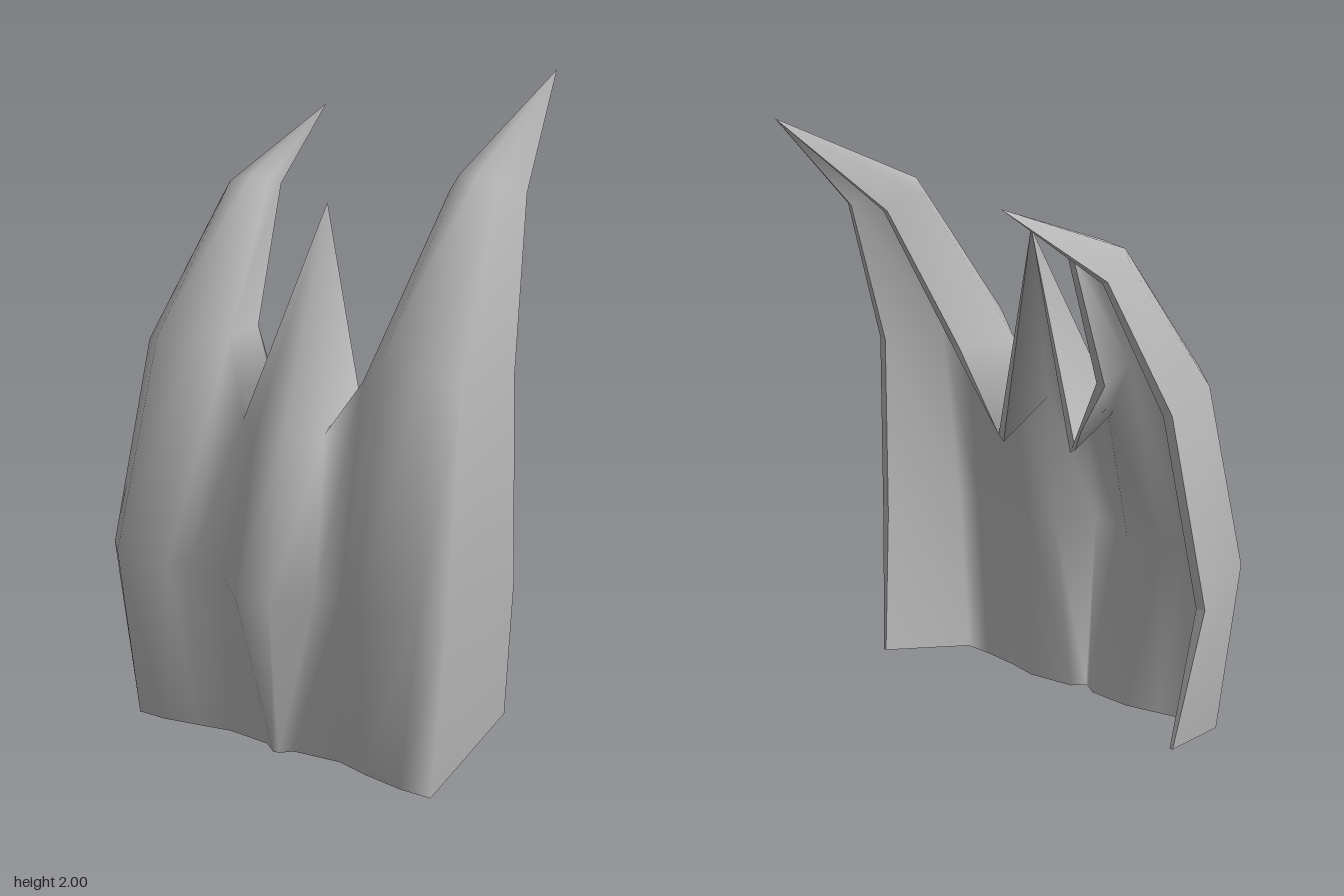
import * as THREE from 'three';

const THICKNESS = 0.028;

// Cross-sections run from the outer back edge on -x, across the front, to the one on +x.
const base = [
  [-0.575, 0.11, 0.02], [-0.51, 0, 0.4], [-0.42, 0, 0.4], [-0.3, 0, 0.38], [-0.19, 0, 0.36], [-0.05, 0, 0.37],
  [-0.01, 0, 0.4], [0.01, 0, 0.4],
  [0.045, 0, 0.37], [0.2, 0, 0.355], [0.3, 0, 0.38], [0.43, 0, 0.4], [0.53, 0, 0.4], [0.595, 0.11, 0.02],
];
const waist = [
  [-0.635, 0.57, 0.08], [-0.57, 0.59, 0.41], [-0.52, 0.59, 0.465], [-0.335, 0.59, 0.47], [-0.28, 0.58, 0.43], [-0.15, 0.57, 0.44],
  [-0.05, 0.57, 0.532], [0.065, 0.57, 0.532],
  [0.15, 0.57, 0.415], [0.23, 0.58, 0.405], [0.32, 0.59, 0.47], [0.5, 0.59, 0.445], [0.565, 0.59, 0.39], [0.635, 0.59, 0.08],
];
const shoulder = [
  [-0.58, 1.2, -0.05], [-0.53, 1.21, 0.24], [-0.46, 1.24, 0.3], [-0.33, 1.26, 0.28], [-0.255, 1.25, 0.21], [-0.14, 1.04, 0.33],
  [-0.045, 1.05, 0.415], [0.05, 1.05, 0.415],
  [0.14, 1.05, 0.335], [0.25, 1.22, 0.31], [0.32, 1.3, 0.335], [0.45, 1.29, 0.32], [0.54, 1.22, 0.28], [0.6, 1.22, 0.05],
];
// Upper section and point of each side claw, inner wing edge included.
const shortClaw = [[-0.46, 1.6, -0.21], [-0.45, 1.62, -0.08], [-0.41, 1.66, -0.05], [-0.35, 1.68, -0.07], [-0.305, 1.66, -0.1], [-0.3, 1.64, -0.17]];
const tallClaw = [[0.38, 1.69, -0.15], [0.36, 1.72, 0.0], [0.39, 1.77, 0.0], [0.44, 1.77, -0.01], [0.49, 1.74, -0.04], [0.53, 1.7, -0.16]];
const shortTip = [-0.34, 1.835, -0.53];
const tallTip = [0.46, 2, -0.525];
const middleTip = [-0.01, 1.655, 0.05];

function buildShell() {
  const points = [], depth = [], tris = [];
  const add = (p, d = THICKNESS) => { points.push(p); depth.push(d); return points.length - 1; };
  const tri = (a, b, c) => { if (a !== b && b !== c && c !== a) tris.push([a, b, c]); };
  const strip = (low, high) => {
    for (let i = 0; i + 1 < low.length; i++) {
      tri(low[i], low[i + 1], high[i + 1]);
      tri(low[i], high[i + 1], high[i]);
    }
  };
  const fan = (row, tip) => strip(row, row.map(() => tip));

  // Front body
  const r0 = base.map((p) => add(p, 0.01));
  const r1 = waist.map((p) => add(p));
  const r2 = shoulder.map((p) => add(p));
  strip(r0, r1);
  strip(r1, r2);

  // Back edges of the folded wings between the claws
  const valleyL = add([-0.145, 0.97, 0.1]), wingL = add([-0.28, 1.23, 0.01]);
  const valleyR = add([0.153, 0.96, 0.1]), wingR = add([0.285, 1.23, 0.07]);

  // Side claws
  const left = shortClaw.map((p) => add(p, 0.018));
  const right = tallClaw.map((p) => add(p, 0.018));
  strip([...r2.slice(0, 5), wingL], left);
  strip([wingR, ...r2.slice(9)], right);
  fan(left, add(shortTip, 0));
  fan(right, add(tallTip, 0));
  strip([r2[5], valleyL], [r2[4], wingL]);
  strip([valleyR, r2[8]], [wingR, r2[9]]);

  // Middle claw
  fan([valleyL, ...r2.slice(5, 9), valleyR], add(middleTip, 0));

  // Smooth normals of the outer skin give the inner skin
  const outer = new THREE.BufferGeometry();
  outer.setAttribute('position', new THREE.Float32BufferAttribute(points.flat(), 3));
  outer.setIndex(tris.flat());
  outer.computeVertexNormals();
  const n = outer.attributes.normal;
  const inset = points.map((p, i) => [
    p[0] - n.getX(i) * depth[i],
    Math.max(0, p[1] - n.getY(i) * depth[i]),
    p[2] - n.getZ(i) * depth[i],
  ]);
  const inner = new THREE.BufferGeometry();
  inner.setAttribute('position', new THREE.Float32BufferAttribute(inset.flat(), 3));
  inner.setIndex(tris.flatMap(([a, b, c]) => [a, c, b]));
  inner.computeVertexNormals();

  // Rim closes every open edge of the two skins
  const edges = new Set();
  const each = (fn) => tris.forEach(([a, b, c]) => { fn(a, b); fn(b, c); fn(c, a); });
  each((a, b) => edges.add(a + '_' + b));
  const rimPos = [];
  each((a, b) => {
    if (edges.has(b + '_' + a)) return;
    for (const p of [points[b], points[a], inset[a], points[b], inset[a], inset[b]]) rimPos.push(...p);
  });
  const rim = new THREE.BufferGeometry();
  rim.setAttribute('position', new THREE.Float32BufferAttribute(rimPos, 3));
  rim.computeVertexNormals();
  return { outerShell: outer, innerShell: inner, shellRim: rim };
}

export function createModel() {
  const model = new THREE.Group();
  model.name = 'clawedShell';
  const grey = new THREE.MeshStandardMaterial({ color: 0xb8b8b8, side: THREE.DoubleSide });
  grey.name = 'plainGrey';
  for (const [name, geometry] of Object.entries(buildShell())) {
    const mesh = new THREE.Mesh(geometry, grey);
    mesh.name = name;
    model.add(mesh);
  }
  return model;
}
